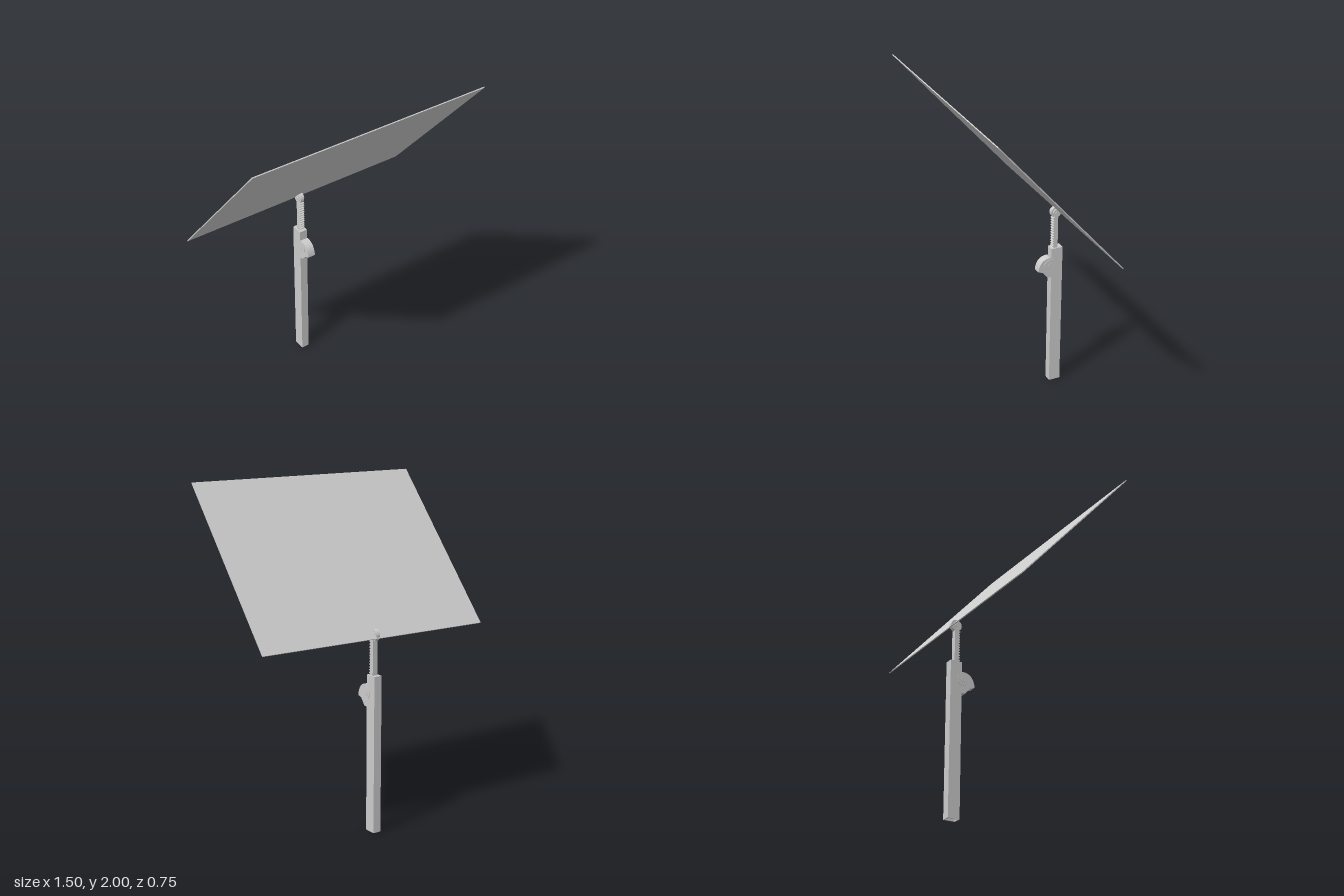
import * as THREE from 'three';

const material = new THREE.MeshStandardMaterial({ color: 0xcccccc, flatShading: true });

export function createModel() {
  const model = new THREE.Group();

  const add = (name, geometry, x = 0, y = 0, z = 0) => {
    const mesh = new THREE.Mesh(geometry, material);
    mesh.name = name;
    mesh.position.set(x, y, z);
    model.add(mesh);
    return mesh;
  };
  // Profile drawn as (z, y), extruded across x and centred
  const sideExtrude = (shape, width) =>
    new THREE.ExtrudeGeometry(shape, { depth: width, bevelEnabled: false, curveSegments: 20 })
      .rotateY(-Math.PI / 2).translate(width / 2, 0, 0);
  // Cylinder lying along x
  const axle = (radius, width, sides = 28) =>
    new THREE.CylinderGeometry(radius, radius, width, sides).rotateZ(Math.PI / 2);
  const rectangle = (path, w, h) => {
    path.moveTo(-w / 2, -h / 2);
    path.lineTo(w / 2, -h / 2);
    path.lineTo(w / 2, h / 2);
    path.lineTo(-w / 2, h / 2);
    path.closePath();
    return path;
  };

  // Tilted thin panel
  const panel = add('panel', new THREE.BoxGeometry(1.5, 0.006, 1.128), 0, 1.575, 0.002);
  panel.rotation.x = -Math.atan2(0.848, 0.744);

  // Hollow square post, open at the foot
  const section = rectangle(new THREE.Shape(), 0.05, 0.073);
  section.holes.push(rectangle(new THREE.Path(), 0.038, 0.059));
  add('post', new THREE.ExtrudeGeometry(section, { depth: 0.935, bevelEnabled: false })
    .rotateX(-Math.PI / 2), 0, 0, -0.3375);
  add('postCap', new THREE.BoxGeometry(0.038, 0.006, 0.059), 0, 0.931, -0.3375);

  // Toothed sliding bar, teeth facing forward
  const rack = new THREE.Shape();
  rack.moveTo(-0.345, 0.72);
  rack.lineTo(-0.32, 0.72);
  const pitch = 0.0165;
  for (let i = 0; i < 25; i++) {
    const y = 0.725 + i * pitch;
    rack.lineTo(-0.32, y);
    rack.lineTo(-0.311, y + pitch * 0.3);
    rack.lineTo(-0.311, y + pitch * 0.6);
    rack.lineTo(-0.32, y + pitch * 0.9);
  }
  rack.lineTo(-0.32, 1.165);
  rack.lineTo(-0.345, 1.165);
  rack.closePath();
  add('rackBar', sideExtrude(rack, 0.032));

  // Hinge at the head of the bar
  add('hingeBarrel', axle(0.034, 0.024), -0.003, 1.166, -0.335);
  add('hingeCollar', axle(0.022, 0.036), 0, 1.166, -0.335);
  add('hingePin', axle(0.01, 0.044, 16), 0, 1.166, -0.335);

  // Locking cam with a curved thumb lip
  const cam = new THREE.Shape();
  cam.moveTo(-0.312, 0.745);
  cam.lineTo(-0.278, 0.745);
  cam.lineTo(-0.245, 0.785);
  cam.lineTo(-0.216, 0.795);
  cam.quadraticCurveTo(-0.225, 0.877, -0.295, 0.876);
  cam.lineTo(-0.312, 0.865);
  cam.closePath();
  const bore = new THREE.Path();
  bore.absarc(-0.293, 0.828, 0.013, 0, Math.PI * 2, true);
  cam.holes.push(bore);
  add('lockingCam', sideExtrude(cam, 0.05), -0.001, 0, 0);

  // Pivot washers and hexagonal bolt
  for (const side of [-1, 1]) {
    add('camWasher', axle(0.038, 0.003), side * 0.0265, 0.828, -0.293);
  }
  add('camBolt', axle(0.018, 0.06, 6), 0, 0.828, -0.293);

  return model;
}
